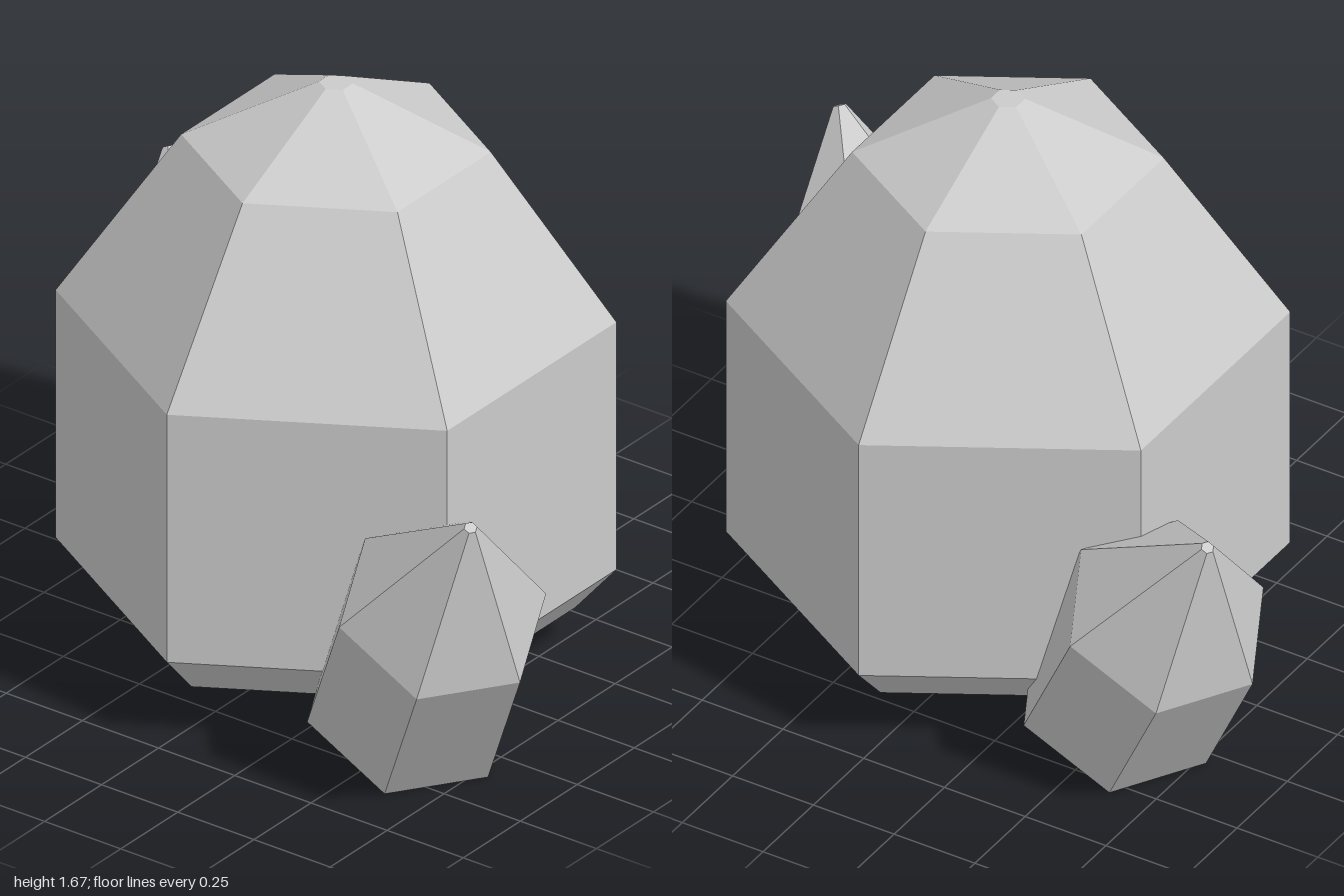
import * as THREE from 'three';

const material = new THREE.MeshStandardMaterial({ color: 0xcccccc, flatShading: true });
const deg = THREE.MathUtils.degToRad;

// Six-sided faceted solid from a [radius, height] profile, bottom to top
function hexSolid(name, profile) {
  const points = profile.map(([r, y]) => new THREE.Vector2(r, y));
  const geometry = new THREE.LatheGeometry(points, 6).toNonIndexed();
  geometry.computeVertexNormals();
  const mesh = new THREE.Mesh(geometry, material);
  mesh.name = name;
  return mesh;
}

// Leaning side crystal; its base centre sits at (x, z) and it leans along yaw
function sideCrystal(name, x, z, yaw) {
  const mesh = hexSolid(name, [[0, 0], [0.287, 0], [0.287, 0.495], [0.018, 0.928], [0, 0.928]]);
  mesh.position.set(x, 0.132, z);
  mesh.rotation.set(0, deg(yaw), deg(-32));
  return mesh;
}

export function createModel() {
  const model = new THREE.Group();
  model.name = 'crystalCluster';

  // Large upright crystal with a bevelled foot and a two-step crown
  const main = hexSolid('mainCrystal', [
    [0, 0.137], [0.633, 0.137], [0.742, 0.258], [0.742, 1.0],
    [0.41, 1.488], [0.045, 1.67], [0, 1.67],
  ]);
  main.position.set(0.018, 0, -0.004);
  model.add(main);

  // Two small crystals leaning outwards on opposite sides
  model.add(sideCrystal('frontLeftCrystal', 0.533, 0.357, -34.5));
  model.add(sideCrystal('backRightCrystal', -0.521, -0.311, 149.7));

  return model;
}
